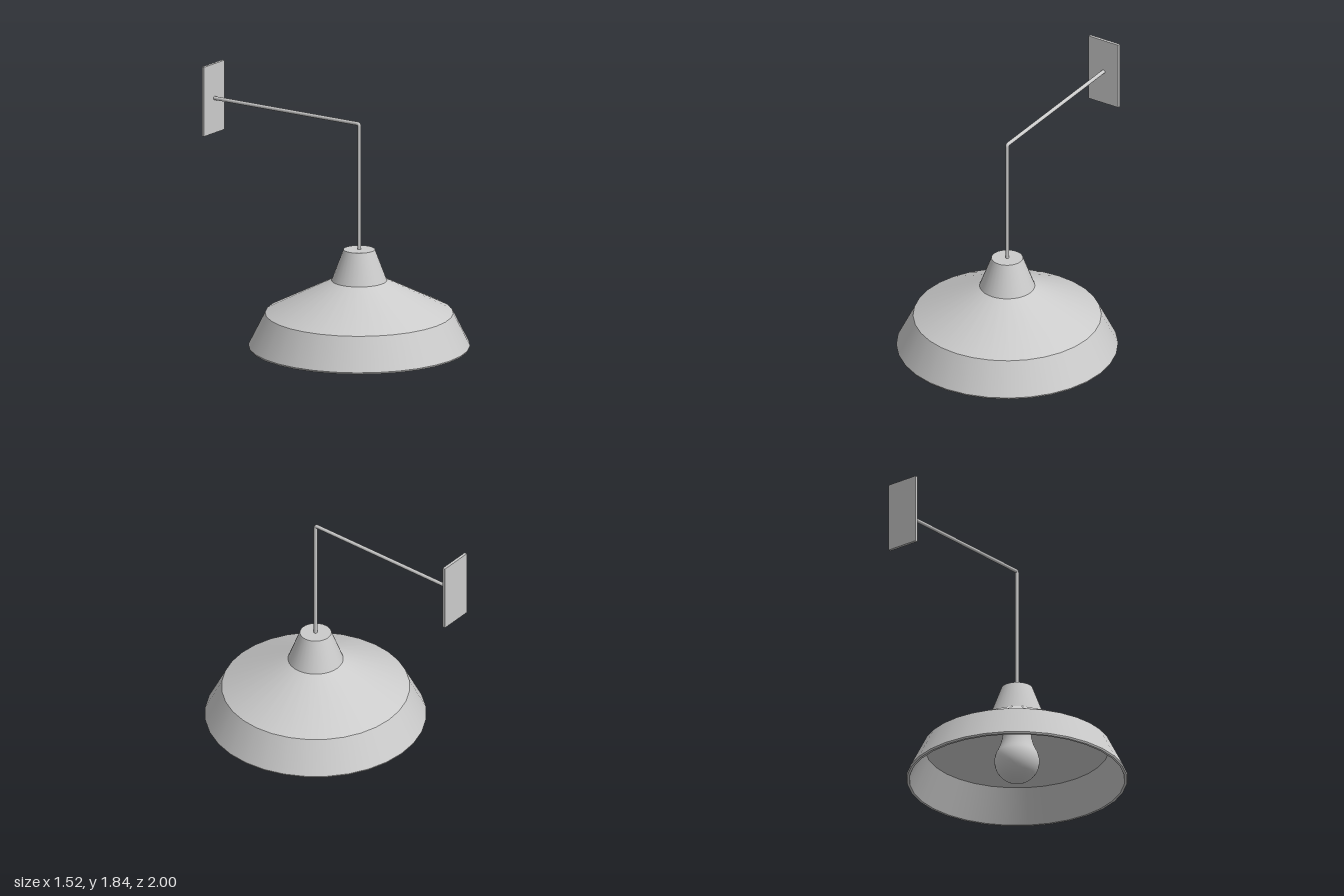
import * as THREE from 'three';
import { mergeGeometries } from 'three/addons/utils/BufferGeometryUtils.js';

const AXIS_Z = 0.235; // the shade hangs forward of the origin
const material = new THREE.MeshStandardMaterial({ color: 0xcccccc });

// Lathe with a sharp edge at each profile point; an upward profile faces outward
function creasedLathe(profile, sides) {
  const bands = [];
  for (let i = 0; i < profile.length - 1; i++) {
    const pair = [profile[i], profile[i + 1]].map(([r, y]) => new THREE.Vector2(r, y));
    bands.push(new THREE.LatheGeometry(pair, sides));
  }
  return mergeGeometries(bands);
}

export function createModel() {
  const model = new THREE.Group();
  model.name = 'wallLamp';

  function add(name, geometry, x = 0, y = 0, z = 0) {
    const mesh = new THREE.Mesh(geometry, material);
    mesh.name = name;
    mesh.position.set(x, y, z);
    model.add(mesh);
    return mesh;
  }

  // Thin-walled shade: inside from the top down, round the rim, outside back up
  add('shade', creasedLathe([
    [0.175, 0.485], [0.63, 0.255], [0.738, 0.022],
    [0.755, 0.022], [0.76, 0.034], [0.645, 0.262], [0.19, 0.492],
  ], 32), 0, 0, AXIS_Z);

  // Conical cap, hollow underneath and closed on top
  add('shadeCap', creasedLathe([
    [0, 0.695], [0.098, 0.695], [0.175, 0.485],
    [0.19, 0.492], [0.108, 0.71], [0, 0.71],
  ], 32), 0, 0, AXIS_Z);

  // Bulb: round globe blending into a neck that runs up into the cap
  const bulbProfile = [];
  for (let i = 0; i <= 12; i++) {
    const a = -Math.PI / 2 + (i / 12) * Math.PI * 0.68;
    bulbProfile.push(new THREE.Vector2(Math.max(0, 0.155 * Math.cos(a)), 0.16 + 0.155 * Math.sin(a)));
  }
  for (const [r, y] of [[0.112, 0.29], [0.1, 0.34], [0.094, 0.4], [0.09, 0.48], [0.085, 0.695]]) {
    bulbProfile.push(new THREE.Vector2(r, y));
  }
  add('bulb', new THREE.LatheGeometry(bulbProfile, 32), 0, 0, AXIS_Z);

  // Bent rod: up from the cap, then back to the wall
  const rodPath = new THREE.CurvePath();
  const bend = 0.015;
  const p = (y, z) => new THREE.Vector3(0, y, z);
  rodPath.add(new THREE.LineCurve3(p(0.7, AXIS_Z), p(1.597 - bend, AXIS_Z)));
  rodPath.add(new THREE.QuadraticBezierCurve3(p(1.597 - bend, AXIS_Z), p(1.597, AXIS_Z), p(1.597, AXIS_Z - bend)));
  rodPath.add(new THREE.LineCurve3(p(1.597, AXIS_Z - bend), p(1.597, -0.985)));
  add('rod', new THREE.TubeGeometry(rodPath, 300, 0.013, 16));

  // Wall plate
  add('wallPlate', new THREE.BoxGeometry(0.24, 0.49, 0.02), 0, 1.595, -0.99);

  return model;
}
